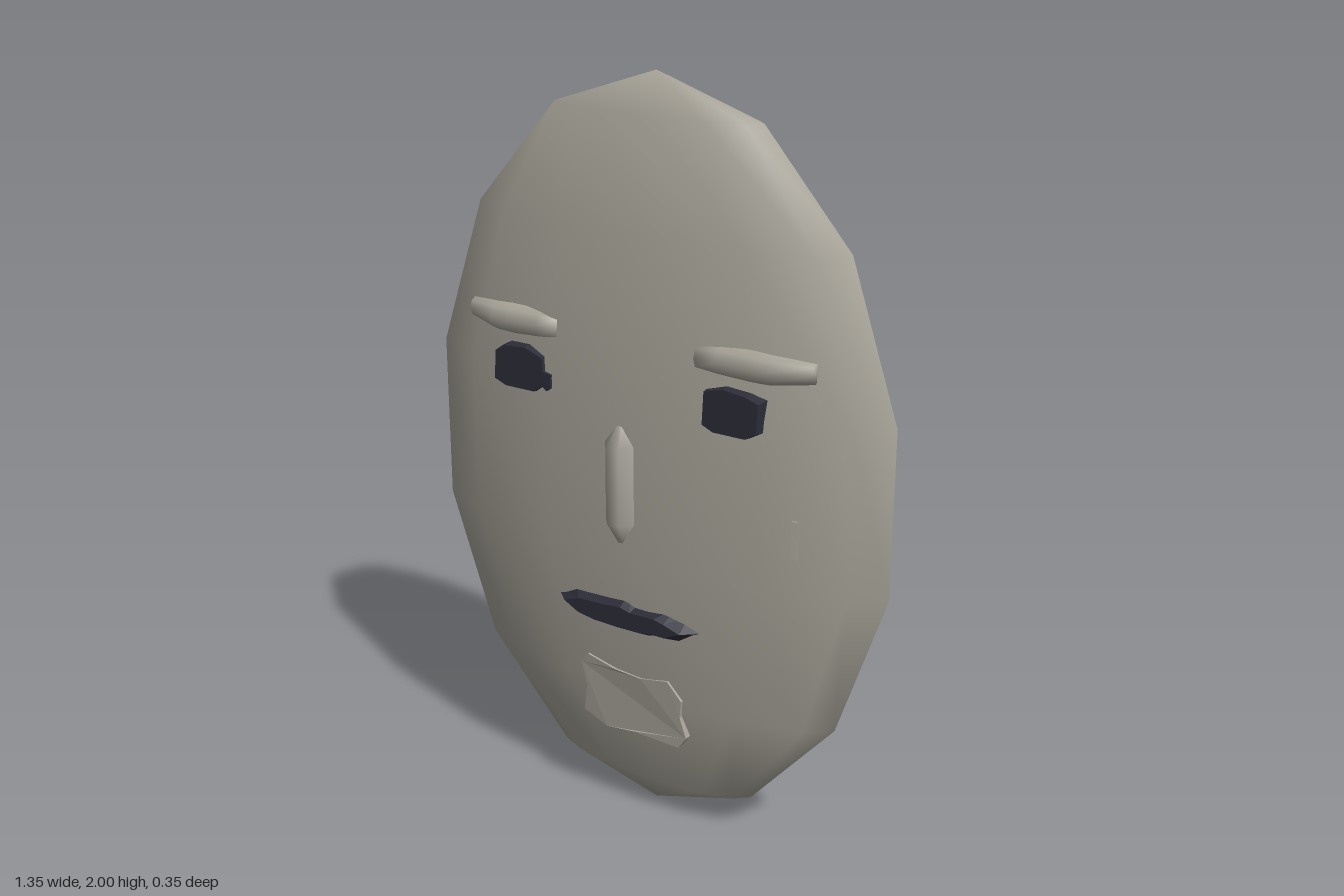
import * as THREE from 'three';

const CX = -0.01, CZ = -0.015; // centre line of the head

export function createModel() {
  const stone = new THREE.MeshStandardMaterial({ color: 0xaaa69b });
  stone.name = 'warm grey';
  const dark = new THREE.MeshStandardMaterial({ color: 0x2d2d3a });
  dark.name = 'dark slate';
  const group = new THREE.Group();

  const add = (name, geometry, material) => {
    const mesh = new THREE.Mesh(geometry, material);
    mesh.name = name;
    group.add(mesh);
  };

  // Moves every vertex of a geometry by a rule
  const reshape = (geometry, rule) => {
    const p = geometry.attributes.position, v = new THREE.Vector3();
    for (let i = 0; i < p.count; i++) {
      rule(v.fromBufferAttribute(p, i));
      p.setXYZ(i, v.x, v.y, v.z);
    }
    return geometry;
  };

  // Slab cut from an outline, one unit deep from z = 0 to 1
  const slab = (outline) => new THREE.ExtrudeGeometry(
    new THREE.Shape(outline.map(([x, y]) => new THREE.Vector2(x, y))),
    { depth: 1, bevelEnabled: false });

  // Raised plate whose front face shrinks toward its own centre
  const plate = (outline, cx, cy, back, front, sx, sy) => {
    const g = reshape(slab(outline), (v) => {
      if (v.z > 0.5) {
        v.x *= sx;
        v.y *= sy;
        v.z = front;
      } else v.z = back;
      v.x += cx;
      v.y += cy;
    });
    g.computeVertexNormals();
    return g;
  };

  // Head: flattened smooth ellipsoid with thirteen sides and seven bands
  const head = new THREE.SphereGeometry(1, 13, 7, Math.PI);
  head.scale(0.703, 1, 0.165).translate(CX, 1, CZ);
  add('head', head, stone);

  // Eyes
  const eye = [[-0.085, -0.045], [-0.05, -0.06], [0.05, -0.06], [0.085, -0.04],
    [0.09, 0.045], [0.05, 0.058], [-0.02, 0.066], [-0.08, 0.05]];
  const lumpyEye = [[-0.09, -0.045], [-0.05, -0.06], [0.05, -0.06], [0.08, -0.04],
    [0.095, -0.05], [0.11, -0.04], [0.11, 0], [0.085, 0.005], [0.08, 0.045],
    [0.02, 0.066], [-0.05, 0.06], [-0.085, 0.04]];
  add('leftEye', plate(eye, 0.305, 1.232, 0.09, 0.142, 0.9, 0.9), dark);
  add('rightEye', plate(lumpyEye, -0.33, 1.232, 0.09, 0.142, 0.9, 0.9), dark);

  // Brows: tapered bars bending back at the outer end
  const browProfile = [[0, 0], [0.033, 0], [0.038, 0.06], [0.04, 0.15], [0.038, 0.2], [0.026, 0.305], [0, 0.305]]
    .map(([r, y]) => new THREE.Vector2(r, y));
  for (const side of [1, -1]) {
    const brow = new THREE.LatheGeometry(browProfile, 8);
    brow.scale(1, 1, 0.8).rotateZ(-side * Math.PI / 2);
    reshape(brow, (v) => {
      const t = Math.abs(v.x);
      v.z += 0.108 - Math.max(0, t - 0.2) * 0.3;
      v.x += CX + side * 0.208;
      v.y += 1.352;
    });
    add(side > 0 ? 'leftBrow' : 'rightBrow', brow, stone);
  }

  // Nose: faceted spindle
  const noseProfile = [[0, 0.81], [0.013, 0.81], [0.047, 0.88], [0.047, 1.09], [0.014, 1.145], [0, 1.147]]
    .map(([r, y]) => new THREE.Vector2(r, y));
  const nose = new THREE.LatheGeometry(noseProfile, 8, Math.PI / 8);
  nose.scale(1, 1, 1.2).translate(CX - 0.005, 0, 0.122);
  add('nose', nose, stone);

  // Mouth
  const mouth = [[-0.24, 0.005], [-0.18, 0.04], [-0.08, 0.047], [0, 0.056], [0.04, 0.04], [0.14, 0.044],
    [0.18, 0.03], [0.245, 0], [0.18, -0.045], [0.13, -0.045], [0.08, -0.058], [-0.01, -0.061],
    [-0.11, -0.058], [-0.18, -0.042]];
  add('mouth', plate(mouth, CX, 0.616, 0.1, 0.154, 0.75, 0.5), dark);

  // Chin patch, slightly proud of both the front and the back
  const chin = [[-0.165, 0.28], [-0.09, 0.25], [0, 0.262], [0.14, 0.255], [0.165, 0.29], [0.148, 0.35],
    [0.155, 0.4], [0.115, 0.45], [0.03, 0.435], [-0.05, 0.44], [-0.14, 0.46], [-0.165, 0.43], [-0.15, 0.36]];
  const patch = reshape(slab(chin), (v) => {
    const front = 0.107 + (v.y - 0.25) * 0.08 - v.x * v.x * 0.2;
    v.z = v.z > 0.5 ? front : 2 * CZ - front;
  });
  patch.computeVertexNormals();
  add('chinPatch', patch, stone);

  // Small cheek mark
  const mark = new THREE.BoxGeometry(0.016, 0.1, 0.03);
  mark.rotateY(0.25).translate(0.467, 0.928, 0.084);
  add('cheekMark', mark, stone);

  return group;
}
